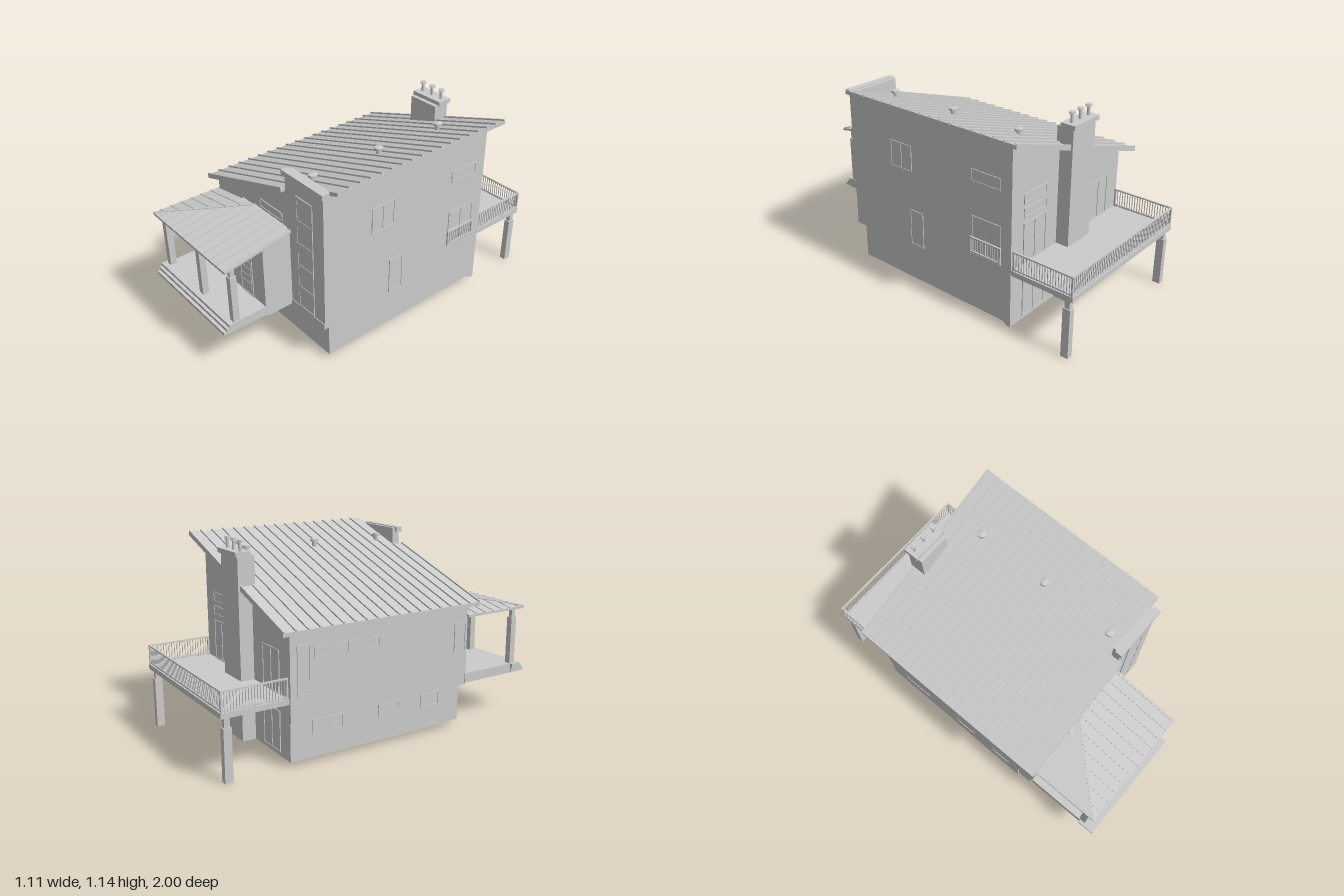
import * as THREE from 'three';
import { mergeGeometries } from 'three/addons/utils/BufferGeometryUtils.js';

const mat = new THREE.MeshStandardMaterial({ color: 0xcccccc, flatShading: true });
const smooth = new THREE.MeshStandardMaterial({ color: 0xcccccc });

// Box from its limits
function boxGeo(x0, x1, y0, y1, z0, z1) {
  return new THREE.BoxGeometry(x1 - x0, y1 - y0, z1 - z0)
    .translate((x0 + x1) / 2, (y0 + y1) / 2, (z0 + z1) / 2);
}
// Extrude an x-y outline from z0 to z1
function prismZ(pts, z0, z1) {
  const s = new THREE.Shape(pts.map(p => new THREE.Vector2(p[0], p[1])));
  return new THREE.ExtrudeGeometry(s, { depth: z1 - z0, bevelEnabled: false }).translate(0, 0, z0);
}
// Extrude a z-y outline from x0 to x1
function prismX(pts, x0, x1) {
  return prismZ(pts.map(([z, y]) => [-z, y]), x0, x1).rotateY(Math.PI / 2);
}
// Thin bar between two points
function barGeo(a, b, w, h) {
  const p = new THREE.Vector3(...a), q = new THREE.Vector3(...b);
  const o = new THREE.Object3D();
  o.position.copy(p).add(q).multiplyScalar(0.5);
  o.lookAt(q);
  o.updateMatrix();
  return new THREE.BoxGeometry(w, h, p.distanceTo(q)).applyMatrix4(o.matrix);
}
// Frame with panes, lying on the x-y plane and facing +z
function windowGeo(w, h, cols = 1, rows = 1) {
  const f = 0.007, d = 0.005, parts = [boxGeo(-w / 2, w / 2, 0, h, -0.004, 0.0015)];
  for (let i = 0; i <= cols; i++) {
    const x = -w / 2 + f / 2 + (w - f) * i / cols;
    parts.push(boxGeo(x - f / 2, x + f / 2, 0, h, -0.004, d));
  }
  for (let j = 0; j <= rows; j++) {
    const y = f / 2 + (h - f) * j / rows;
    parts.push(boxGeo(-w / 2, w / 2, y - f / 2, y + f / 2, -0.004, d));
  }
  return mergeGeometries(parts);
}
// Posts and rails between two points on a floor
function railingGeo(a, b, y0, y1) {
  const [ax, az] = a, [bx, bz] = b, parts = [];
  const n = Math.round(Math.hypot(bx - ax, bz - az) / 0.0165);
  for (let i = 0; i <= n; i++) {
    const x = ax + (bx - ax) * i / n, z = az + (bz - az) * i / n, r = i % n ? 0.002 : 0.005;
    parts.push(boxGeo(x - r, x + r, y0, y1, z - r, z + r));
  }
  for (const y of [y0 + 0.012, y1 - 0.004]) parts.push(barGeo([ax, y, az], [bx, y, bz], 0.01, 0.008));
  return mergeGeometries(parts);
}
const roofY = x => 0.985 + (x - 0.175) * 0.33;

export function createModel() {
  const house = new THREE.Group();
  house.name = 'house';
  const add = (name, geo, m = mat) => {
    const mesh = new THREE.Mesh(geo, m);
    mesh.name = name;
    house.add(mesh);
    return mesh;
  };
  const box = (name, ...l) => add(name, boxGeo(...l));

  // Walls and foundation
  const L = -0.495, R = 0.488, back = -0.62, front = 0.547;
  add('walls', prismZ([[L, 0.245], [R, 0.245], [R, roofY(R) - 0.015], [L, roofY(L) - 0.015]], back, front));
  box('foundation', -0.475, 0.467, 0.03, 0.25, -0.61, 0.51);
  add('rightSkirt', prismX([[back, 0.03], [-0.6, 0.03], [-0.2, 0.246], [back, 0.246]], 0.46, R));
  box('leftSkirt', -0.488, -0.46, 0.03, 0.246, back, 0.42);
  box('backSkirt', -0.488, R, 0.03, 0.246, back, -0.6);

  // Sloped main roof with raised seams
  const slab = (x0, x1, z1) => prismZ([[x0, roofY(x0) - 0.022], [x1, roofY(x1) - 0.022],
    [x1, roofY(x1)], [x0, roofY(x0)]], -0.69, z1);
  add('roofWest', slab(-0.555, 0.175, 0.58));
  add('roofEast', slab(0.175, 0.55, 0.512));
  const seams = [];
  for (let i = 0; i < 19; i++) {
    const z = -0.685 + i * 0.07, x1 = z > 0.5 ? 0.175 : 0.55;
    seams.push(barGeo([-0.555, roofY(-0.555) + 0.002, z], [x1, roofY(x1) + 0.002, z], 0.01, 0.013));
  }
  add('roofSeams', mergeGeometries(seams));

  // Roof vents
  for (const z of [-0.47, -0.02, 0.43]) {
    const y = roofY(0.25);
    const profile = [[0, -0.02], [0.014, -0.02], [0.014, 0.025], [0.025, 0.026], [0.025, 0.04], [0, 0.046]];
    const v = add('roofVent', new THREE.LatheGeometry(profile.map(p => new THREE.Vector2(...p)), 16), mat);
    v.position.set(0.25, y, z);
  }

  // Tower wall at the front with stacked glazing
  box('towerWall', 0.178, R, 0.245, 1.065, 0.505, 0.553);
  box('towerCap', 0.166, 0.5, 1.06, 1.09, 0.525, 0.567);
  box('towerCapBack', 0.178, R, 1.06, 1.085, 0.505, 0.53);
  box('towerBase', 0.2, R, 0.245, 0.277, 0.5, 0.557);
  add('towerGlazing', windowGeo(0.132, 0.702)).position.set(0.335, 0.278, 0.553);
  for (let i = 0; i < 5; i++) box('towerPanel', 0.272, 0.398, 0.345 + i * 0.14, 0.42 + i * 0.14, 0.55, 0.557);

  // Chimney with flues
  box('chimney', -0.1, 0.1, 0.03, 1.055, -0.7, -0.6);
  box('chimneyCap', -0.11, 0.11, 1.052, 1.078, -0.715, -0.625);
  for (const x of [-0.075, 0, 0.075]) {
    add('flue', new THREE.CylinderGeometry(0.009, 0.009, 0.06, 16), smooth).position.set(x, 1.108, -0.67);
    for (const y of [1.128, 1.137])
      add('flueCap', new THREE.CylinderGeometry(0.018, 0.018, 0.004, 16), smooth).position.set(x, y, -0.67);
  }

  // Entry room and porch floor with steps
  add('entryRoom', prismX([[0.54, 0.245], [0.73, 0.245], [0.73, 0.695], [0.54, 0.728]], -0.24, 0.2));
  box('porchFloor', -0.5, 0.2, 0.255, 0.312, 0.54, 0.955);
  [[0.312, 0.965], [0.294, 0.982], [0.276, 1]].forEach(([y, z], i) =>
    box('porchStep', -0.515 + i * 0.004, 0.2, y - 0.018, y, 0.9, z));

  // Porch columns
  for (const x of [-0.478, -0.125, 0.178]) {
    box('porchColumn', x - 0.018, x + 0.018, 0.31, 0.597, 0.895, 0.933);
    box('porchColumnTop', x - 0.012, x + 0.012, 0.59, 0.665, 0.901, 0.927);
  }

  // Hipped porch roof: top, underside and edges
  const A = [-0.513, 0.664, 0.97], B = [0.213, 0.664, 0.97], C = [0.213, 0.738, 0.54];
  const D = [-0.11, 0.738, 0.54], E = [-0.513, 0.664, 0.54];
  const low = p => [p[0], p[1] - 0.014, p[2]];
  const ring = [A, B, C, D, E], tri = [];
  const quad = (a, b, c, d) => tri.push(a, b, c, a, c, d);
  quad(A, B, C, D);
  tri.push(A, D, E);
  quad(low(D), low(C), low(B), low(A));
  tri.push(low(E), low(D), low(A));
  ring.forEach((p, i) => {
    const q = ring[(i + 1) % 5];
    quad(low(p), low(q), q, p);
  });
  const hip = new THREE.BufferGeometry();
  hip.setAttribute('position', new THREE.Float32BufferAttribute(tri.flat(), 3));
  hip.computeVertexNormals();
  add('porchRoof', hip);
  const along = t => A.map((v, i) => v + (D[i] - v) * t);
  const porchSeams = [barGeo(A, D, 0.008, 0.008)];
  for (let x = -0.45; x < 0.21; x += 0.065) {
    const t = Math.min(1, (x - A[0]) / (D[0] - A[0])), h = along(t);
    porchSeams.push(barGeo([x, 0.664, 0.97], [x, h[1], h[2]], 0.005, 0.008));
  }
  for (let z = 0.6; z < 0.95; z += 0.065) {
    const h = along((0.97 - z) / 0.43);
    porchSeams.push(barGeo([A[0], 0.664, z], [h[0], h[1], z], 0.005, 0.008));
  }
  add('porchRoofSeams', mergeGeometries(porchSeams));

  // Front door
  add('frontDoor', windowGeo(0.115, 0.27)).position.set(0.033, 0.312, 0.73);
  for (let i = 0; i < 4; i++) box('doorPanel', -0.01, 0.075, 0.355 + i * 0.048, 0.393 + i * 0.048, 0.73, 0.734);
  add('doorKnob', new THREE.SphereGeometry(0.004, 10, 8), smooth).position.set(0.082, 0.42, 0.738);

  // Rear deck
  box('deckFloor', -0.485, 0.485, 0.345, 0.375, -1, -0.61);
  for (const s of [-1, 1]) {
    const x = s * 0.46;
    box('deckPost', x - 0.018, x + 0.018, 0, 0.29, -0.985, -0.94);
    box('deckPostTop', x - 0.013, x + 0.013, 0.28, 0.35, -0.978, -0.947);
    add('deckSideRailing', railingGeo([s * 0.478, -0.63], [s * 0.478, -0.992], 0.374, 0.488));
  }
  add('deckBackRailing', railingGeo([-0.478, -0.992], [0.478, -0.992], 0.374, 0.488));
  add('balconyRailing', railingGeo([0.496, -0.353], [0.496, -0.552], 0.385, 0.486));
  for (const z of [-0.353, -0.552])
    box('balconyBracket', 0.48, 0.498, 0.48, 0.486, z - 0.004, z + 0.004);

  // Windows and doors: [u0, u1, y0, y1, columns, rows] on each wall
  const sides = {
    front: [[-0.4, -0.3, 0.485, 0.61], [-0.068, 0.133, 0.75, 0.802]],
    right: [[0.075, 0.235, 0.72, 0.875, 2], [-0.55, -0.355, 0.385, 0.61, 2],
      [-0.55, -0.355, 0.805, 0.875], [0, 0.1, 0.27, 0.49]],
    left: [[-0.58, -0.5, 0.38, 0.65], [-0.48, -0.29, 0.57, 0.63], [-0.27, -0.07, 0.57, 0.63], [0.45, 0.535, 0.45, 0.62]],
    basement: [[-0.49, -0.3, 0.16, 0.24], [-0.07, 0.07, 0.16, 0.24], [0.22, 0.35, 0.16, 0.24]],
    back: [[0.2, 0.39, 0.375, 0.61, 2], [0.2, 0.39, 0.64, 0.695], [0.2, 0.39, 0.72, 0.775],
      [-0.385, -0.205, 0.375, 0.61, 2], [0.2, 0.39, 0.05, 0.28, 2], [-0.385, -0.205, 0.05, 0.28, 2]],
  };
  const place = {
    front: u => [u, front, 0], back: u => [u, back, Math.PI],
    right: u => [R, u, Math.PI / 2], left: u => [L, u, -Math.PI / 2], basement: u => [-0.488, u, -Math.PI / 2],
  };
  for (const side in sides) for (const [u0, u1, y0, y1, cols, rows] of sides[side]) {
    const [x, z, turn] = place[side]((u0 + u1) / 2);
    const w = add(side + 'Window', windowGeo(u1 - u0, y1 - y0, cols, rows));
    w.position.set(x, y0, z);
    w.rotation.y = turn;
  }
  return house;
}
